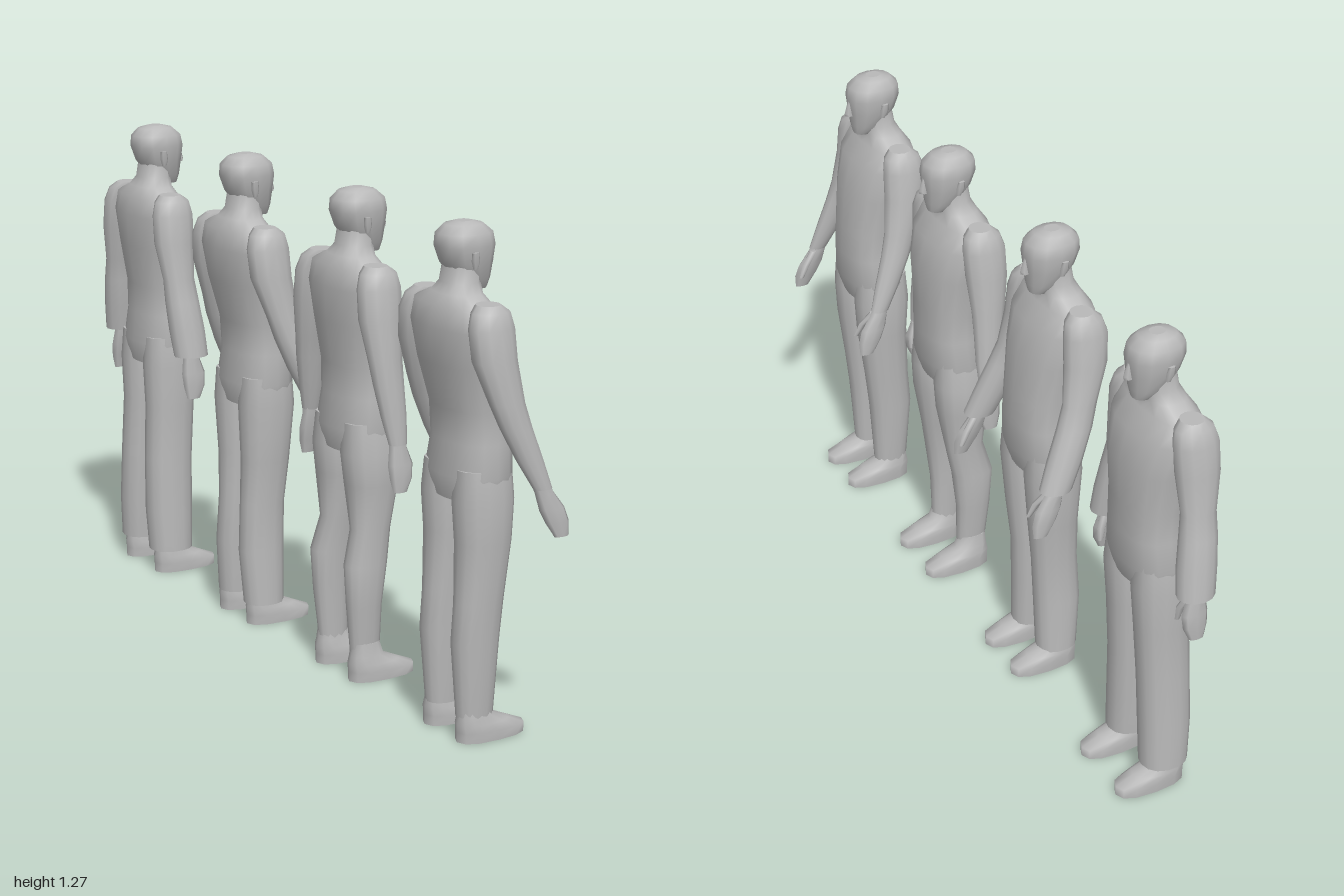
import * as THREE from 'three';

const grey = new THREE.MeshStandardMaterial({ color: 0xb8b8b8 });
grey.name = 'plain grey';

// Skin over horizontal rings [y, cx, cz, rx, rz], with flat caps; p < 1 squares the rings off.
function loft(name, rings, n = 12, p = 1) {
  rings = [...rings].sort((a, b) => a[0] - b[0]);
  const pos = [], idx = [];
  const soft = (v) => Math.sign(v) * Math.abs(v) ** p;
  const addRing = ([y, cx, cz, rx, rz]) => {
    for (let j = 0; j < n; j++) {
      const a = (j / n) * Math.PI * 2;
      pos.push(cx + rx * soft(Math.cos(a)), y, cz + rz * soft(Math.sin(a)));
    }
  };
  rings.forEach(addRing);
  for (let i = 0; i < rings.length - 1; i++) {
    for (let j = 0; j < n; j++) {
      const a = i * n + j, b = i * n + ((j + 1) % n);
      idx.push(a, a + n, b, b, a + n, b + n);
    }
  }
  for (const top of [false, true]) {
    const r = top ? rings[rings.length - 1] : rings[0];
    const start = pos.length / 3;
    addRing(r);
    pos.push(r[1], r[0], r[2]);
    for (let j = 0; j < n; j++) {
      const a = start + j, b = start + ((j + 1) % n);
      idx.push(start + n, top ? b : a, top ? a : b);
    }
  }
  const g = new THREE.BufferGeometry();
  g.setAttribute('position', new THREE.Float32BufferAttribute(pos, 3));
  g.setIndex(idx);
  g.computeVertexNormals();
  const mesh = new THREE.Mesh(g, grey);
  mesh.name = name;
  return mesh;
}

// Leg outlines: [y, inner z, outer z, back x, front x]
const legs = {
  straight: [[0.68, 0.01, 0.115, -0.085, 0.06], [0.6, 0.004, 0.125, -0.09, 0.065], [0.5, 0.008, 0.122, -0.082, 0.06],
    [0.35, 0.02, 0.112, -0.085, 0.042], [0.25, 0.022, 0.11, -0.092, 0.032], [0.06, 0.03, 0.1, -0.075, 0.02]],
  slim: [[0.68, 0.01, 0.115, -0.085, 0.06], [0.6, 0.004, 0.128, -0.09, 0.065], [0.52, 0.008, 0.127, -0.08, 0.06],
    [0.4, 0.032, 0.11, -0.068, 0.04], [0.31, 0.04, 0.12, -0.092, 0.025], [0.2, 0.046, 0.112, -0.085, 0.012],
    [0.06, 0.05, 0.1, -0.07, 0.01]],
  trousers: [[0.68, 0.01, 0.115, -0.085, 0.06], [0.6, 0.004, 0.122, -0.09, 0.065], [0.45, 0.008, 0.112, -0.082, 0.052],
    [0.33, 0.012, 0.1, -0.085, 0.04], [0.2, 0.016, 0.105, -0.092, 0.035], [0.055, 0.022, 0.113, -0.08, 0.03]],
  flared: [[0.68, 0.01, 0.115, -0.085, 0.06], [0.6, 0.004, 0.125, -0.09, 0.065], [0.48, 0.01, 0.12, -0.085, 0.055],
    [0.33, 0.016, 0.122, -0.092, 0.045], [0.18, 0.022, 0.13, -0.095, 0.04], [0.065, 0.028, 0.135, -0.088, 0.036]],
};

function createMan(name, { leg, sleeve = 0, forward, tall = 1 }) {
  const man = new THREE.Group();
  man.name = name;
  const lean = forward ? -0.022 : 0;

  // Torso and neck
  const torso = [[0.6, -0.012, 0.07, 0.1], [0.66, -0.01, 0.084, 0.122], [0.74, -0.004, 0.08, 0.112],
    [0.82, -0.005, 0.08, 0.113], [0.93, -0.012, 0.09, 0.128], [1.02, -0.024, 0.083, 0.146],
    [1.07, -0.035, 0.062, 0.135], [1.097, -0.03, 0.05, 0.072], [1.12, -0.022, 0.046, 0.048], [1.17, -0.014, 0.045, 0.046]];
  man.add(loft('torso', torso.map(([y, x, rx, rz]) =>
    [y, x + lean * THREE.MathUtils.smoothstep(y, 0.75, 1), 0, rx, rz]), 16, 0.85));

  // Head with nose and ears
  const head = new THREE.Group();
  head.name = 'head';
  head.position.x = lean;
  head.add(loft('skull', [[1.1, 0.022, 0, 0.026, 0.026], [1.125, 0.008, 0, 0.046, 0.042], [1.165, -0.005, 0, 0.064, 0.054],
    [1.205, -0.01, 0, 0.074, 0.061], [1.235, -0.012, 0, 0.07, 0.057], [1.255, -0.014, 0, 0.048, 0.04],
    [1.262, -0.014, 0, 0.02, 0.018]], 12, 0.9));
  head.add(loft('nose', [[1.155, 0.058, 0, 0.014, 0.011], [1.162, 0.06, 0, 0.014, 0.01], [1.2, 0.057, 0, 0.006, 0.006]], 6));
  for (const s of [1, -1]) {
    head.add(loft('ear', [[1.155, -0.015, s * 0.054, 0.007, 0.005], [1.175, -0.018, s * 0.058, 0.012, 0.006],
      [1.195, -0.02, s * 0.06, 0.01, 0.005]], 6));
  }
  man.add(head);

  // Arms swing forward below the shoulder when asked
  const swing = (y) => (forward ? lean * 0.6 + 0.14 * Math.max(0, (1.02 - y) / 0.49) ** 1.5 : 0);
  for (const s of [1, -1]) {
    const limb = (label, rings, n) => loft(label,
      rings.map(([y, x, z, rx, rz]) => [y, x + swing(y), s * z, rx, rz]), n);
    man.add(limb('arm', [[1.088, -0.038, 0.125, 0.03, 0.03], [1.072, -0.038, 0.135, 0.05, 0.036],
      [1.035, -0.04, 0.143, 0.06, 0.04], [0.96, -0.042, 0.152, 0.058, 0.042], [0.86, -0.038, 0.17, 0.046, 0.033],
      [0.8, -0.034, 0.18, 0.042 + sleeve * 0.3, 0.029 + sleeve * 0.4], [0.72, -0.026, 0.192, 0.035 + sleeve * 0.7, 0.024 + sleeve * 0.7],
      [0.65, -0.02, 0.203, 0.025 + sleeve, 0.017 + sleeve]], 12));
    man.add(limb('hand', [[0.68, -0.022, 0.2, 0.024, 0.016], [0.64, -0.02, 0.203, 0.026, 0.016], [0.6, -0.016, 0.208, 0.036, 0.016],
      [0.565, -0.016, 0.213, 0.033, 0.012], [0.53, -0.02, 0.216, 0.02, 0.008]], 8));
    man.add(limb('thumb', [[0.645, -0.006, 0.197, 0.012, 0.01], [0.61, 0.01, 0.186, 0.012, 0.009],
      [0.575, 0.014, 0.181, 0.007, 0.005]], 6));

    // Legs
    const outline = legs[leg];
    man.add(loft('leg', outline.map(([y, zi, zo, xb, xf]) =>
      [y, (xb + xf) / 2, s * (zi + zo) / 2, (xf - xb) / 2, (zo - zi) / 2]), 14, 0.9));

    // Feet
    const [, zi, zo] = outline[outline.length - 1];
    const z = s * ((zi + zo) / 2 + 0.004);
    man.add(loft('foot', [[0, 0.016, z, 0.095, 0.04], [0.025, 0.016, z, 0.095, 0.041], [0.045, -0.008, z, 0.071, 0.038],
      [0.065, -0.028, z, 0.046, 0.031], [0.1, -0.032, z, 0.038, 0.026]], 12, 0.8));
  }
  man.scale.y = tall;
  return man;
}

export function createModel() {
  const model = new THREE.Group();
  model.name = 'row of standing men';
  const row = [
    ['manWithStraightLegs', 0.775, { leg: 'straight', forward: true }],
    ['manWithSlimLegs', 0.284, { leg: 'slim', forward: false }],
    ['manInTrousers', -0.222, { leg: 'trousers', forward: true, sleeve: 0.018, tall: 1.01 }],
    ['manInFlaredTrousers', -0.756, { leg: 'flared', forward: false, sleeve: 0.024, tall: 1.01 }],
  ];
  for (const [name, z, options] of row) {
    const man = createMan(name, options);
    man.position.z = z;
    model.add(man);
  }
  return model;
}
